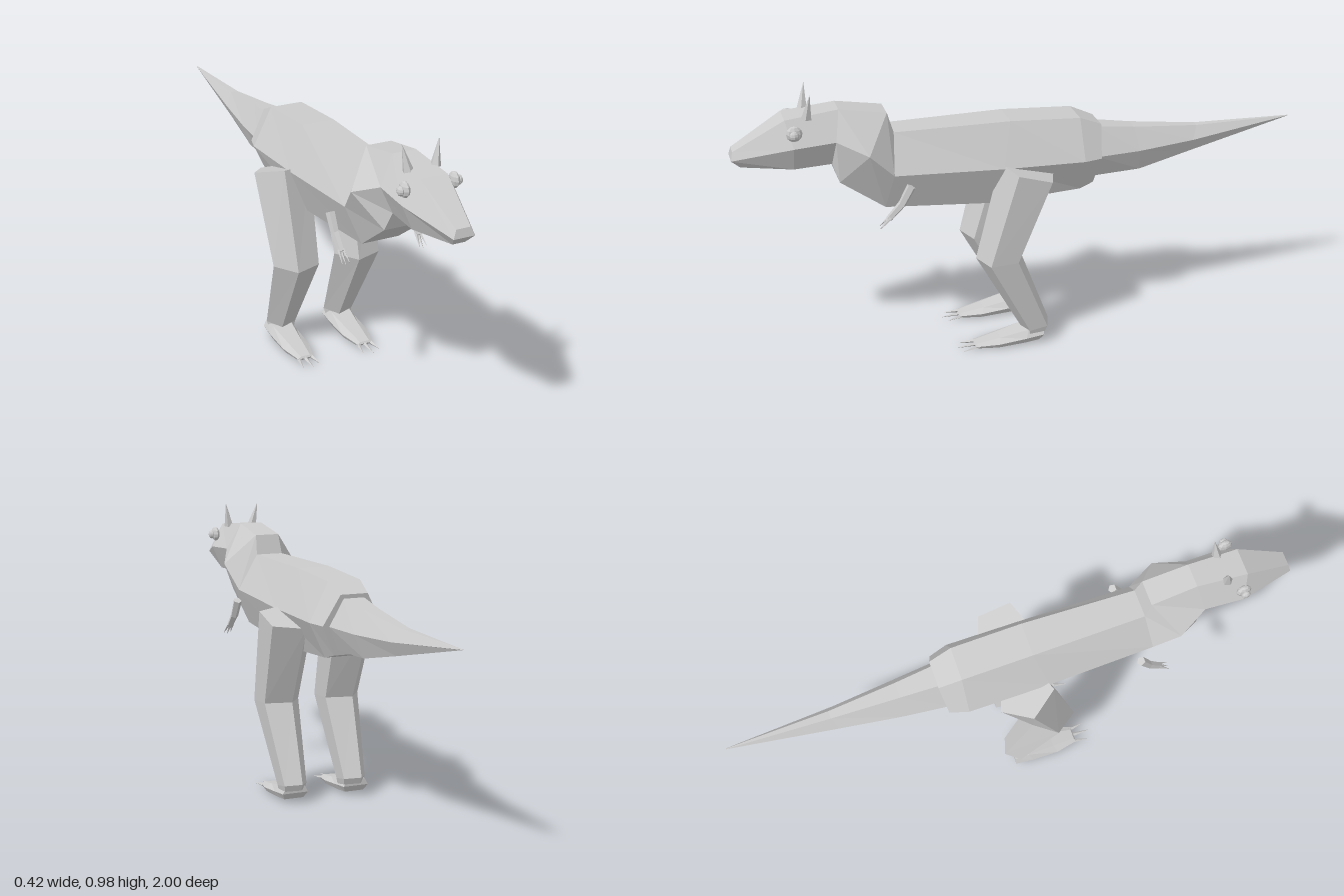
import * as THREE from 'three';

const material = new THREE.MeshStandardMaterial({ color: 0xcccccc, flatShading: true });

// Skin a series of rings (each an array of [x, y, z]); capped at the chosen ends.
function loft(name, rings, capStart = true, capEnd = true) {
  const pos = [];
  const tri = (a, b, c) => pos.push(...a, ...b, ...c);
  const n = rings[0].length;
  for (let r = 0; r < rings.length - 1; r++) {
    const a = rings[r], b = rings[r + 1];
    for (let i = 0; i < n; i++) {
      const j = (i + 1) % n;
      tri(a[i], a[j], b[j]);
      tri(a[i], b[j], b[i]);
    }
  }
  const first = rings[0], last = rings[rings.length - 1];
  for (let i = 1; i < n - 1; i++) {
    if (capStart) tri(first[0], first[i + 1], first[i]);
    if (capEnd) tri(last[0], last[i], last[i + 1]);
  }
  const geometry = new THREE.BufferGeometry();
  geometry.setAttribute('position', new THREE.Float32BufferAttribute(pos, 3));
  geometry.computeVertexNormals();
  return named(name, geometry);
}

function named(name, geometry) {
  const mesh = new THREE.Mesh(geometry, material);
  mesh.name = name;
  return mesh;
}

// Six-sided section: top, middle and bottom levels, each [half width, y, z].
function hex([tw, ty, tz], [mw, my, mz], [bw, by, bz]) {
  return [[mw, my, mz], [tw, ty, tz], [-tw, ty, tz], [-mw, my, mz], [-bw, by, bz], [bw, by, bz]];
}

// Five-sided leg section with one corner towards -x; slope tilts it front to back.
function pentagon(cx, cy, cz, radius, slope) {
  return Array.from({ length: 5 }, (_, i) => {
    const a = Math.PI + (i * 2 * Math.PI) / 5;
    const dz = radius * Math.sin(a);
    return [cx + radius * Math.cos(a), cy + slope * dz, cz + dz];
  });
}

// Tapered limb or spike between two points.
function spike(name, from, to, r0, r1, sides) {
  const a = new THREE.Vector3(...from), b = new THREE.Vector3(...to);
  const mesh = named(name, new THREE.CylinderGeometry(r1, r0, a.distanceTo(b), sides));
  mesh.position.copy(a).add(b).multiplyScalar(0.5);
  mesh.quaternion.setFromUnitVectors(new THREE.Vector3(0, 1, 0), b.sub(a).normalize());
  return mesh;
}

function createLeg(side) {
  const leg = new THREE.Group();
  leg.name = side > 0 ? 'leftLeg' : 'rightLeg';
  const x = side * 0.118 + 0.01;
  const hip = pentagon(x + side * 0.003, 0.657, 0.01, 0.1, 0.3);
  const knee = pentagon(x, 0.342, 0.115, 0.083, -0.05);
  const ankle = pentagon(x - side * 0.003, 0.062, -0.015, 0.054, -0.17);
  const heel = pentagon(x - side * 0.003, 0.04, -0.01, 0.048, -0.17);
  leg.add(loft('thigh', [hip, knee], true, false));
  leg.add(loft('shin', [knee, ankle, heel], false, true));

  // Foot narrows towards three claws
  const foot = loft('foot', [
    hex([0.036, 0.058, -0.035], [0.048, 0.035, -0.035], [0.036, 0.012, -0.02]),
    hex([0.036, 0.056, 0.02], [0.052, 0.03, 0.03], [0.042, 0.01, 0.03]),
    hex([0.026, 0.034, 0.12], [0.05, 0.02, 0.13], [0.042, 0.005, 0.13]),
    hex([0.018, 0.018, 0.205], [0.03, 0.012, 0.21], [0.026, 0.004, 0.205]),
  ]);
  foot.position.x = x - 0.006;
  leg.add(foot);
  for (const i of [-1, 0, 1]) {
    const cx = x - 0.006 + i * 0.021;
    leg.add(spike('toeClaw', [cx, 0.01, 0.19], [cx + i * 0.012, 0.003, i ? 0.255 : 0.27], 0.009, 0.001, 4));
  }
  return leg;
}

function createArm(side) {
  const arm = new THREE.Group();
  arm.name = side > 0 ? 'leftArm' : 'rightArm';
  const x = side * 0.143;
  arm.add(spike('upperArm', [x, 0.658, 0.425], [x, 0.595, 0.46], 0.016, 0.014, 5));
  arm.add(spike('forearm', [x, 0.6, 0.457], [x + side * 0.001, 0.55, 0.505], 0.014, 0.011, 5));
  for (const i of [-1, 0, 1])
    arm.add(spike('fingerClaw', [x + i * 0.007, 0.556, 0.5], [x + i * 0.013, i ? 0.522 : 0.517, 0.535], 0.006, 0.001, 4));
  return arm;
}

function createFaceSide(side) {
  const group = new THREE.Group();
  group.name = side > 0 ? 'leftFace' : 'rightFace';
  const eye = named('eyeball', new THREE.SphereGeometry(0.027, 8, 6));
  eye.scale.x = 0.55;
  eye.position.set(side * 0.087, 0.865, 0.795);
  const pupil = named('pupil', new THREE.SphereGeometry(0.016, 8, 6));
  pupil.scale.x = 0.75;
  pupil.position.set(side * 0.102, 0.863, 0.797);
  group.add(eye, pupil);
  group.add(spike('horn', [side * 0.048, 0.9, 0.747], [side * 0.065, 0.985, 0.735], 0.018, 0.0005, 5));
  return group;
}

export function createModel() {
  const model = new THREE.Group();
  model.name = 'dinosaur';
  const trunk = new THREE.Group();
  trunk.name = 'trunk';
  trunk.position.x = 0.009;
  model.add(trunk);

  // Tail, from its tip to the rump
  trunk.add(loft('tail', [
    hex([0.001, 0.707, -1], [0.002, 0.706, -1], [0.001, 0.705, -1]),
    hex([0.014, 0.712, -0.64], [0.042, 0.668, -0.62], [0.022, 0.622, -0.62]),
    hex([0.028, 0.737, -0.4], [0.068, 0.66, -0.41], [0.038, 0.58, -0.42]),
    hex([0.038, 0.757, -0.26], [0.085, 0.662, -0.25], [0.048, 0.578, -0.24]),
  ]));

  // Torso, neck and head share their joining rings
  const shoulder = hex([0.05, 0.82, 0.46], [0.118, 0.69, 0.475], [0.068, 0.56, 0.5]);
  const throat = hex([0.045, 0.89, 0.48], [0.142, 0.778, 0.56], [0.072, 0.67, 0.652]);
  const nape = hex([0.042, 0.918, 0.64], [0.093, 0.822, 0.66], [0.055, 0.733, 0.672]);
  trunk.add(loft('torso', [
    hex([0.05, 0.77, -0.27], [0.108, 0.665, -0.255], [0.06, 0.56, -0.24]),
    hex([0.06, 0.805, -0.19], [0.128, 0.668, -0.19], [0.07, 0.545, -0.19]),
    hex([0.06, 0.82, 0.06], [0.127, 0.675, 0.1], [0.073, 0.53, 0.12]),
    shoulder,
  ], true, false));
  trunk.add(loft('neck', [shoulder, throat, nape], false, false));
  trunk.add(loft('head', [
    nape,
    hex([0.048, 0.9, 0.82], [0.098, 0.815, 0.8], [0.06, 0.73, 0.8]),
    hex([0.025, 0.8, 0.993], [0.037, 0.772, 1], [0.022, 0.742, 0.97]),
  ], false, true));

  for (const side of [-1, 1]) {
    trunk.add(createFaceSide(side), createArm(side));
    model.add(createLeg(side));
  }
  return model;
}
